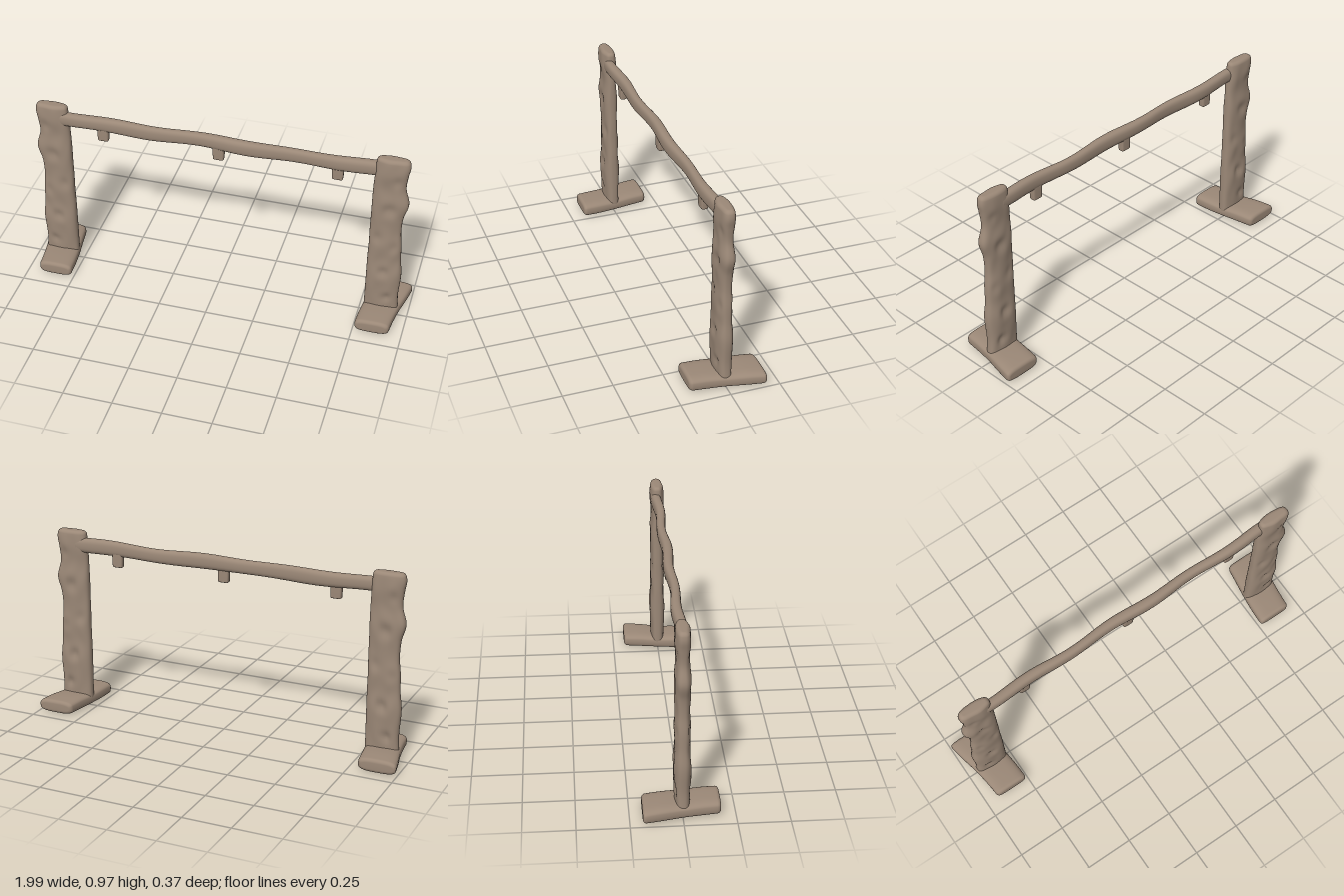
import * as THREE from 'three';

// Maps (u, v, t) to x, y, z for a loft along each axis (right-handed order)
const AXES = {
  x: (u, v, t) => [t, u, v],
  y: (u, v, t) => [v, t, u],
  z: (u, v, t) => [u, v, t],
};

// Rounded bar through stations [t, centreU, centreV, halfU, halfV].
// power sets how square the section is, round the end radius.
function loft(axis, stations, { power, round, steps, sides = 32, dent }) {
  const times = stations.map((s) => s[0]);
  const values = stations.flatMap((s) => s.slice(1));
  const curve = new THREE.CubicInterpolant(times, values, 4);
  const t0 = times[0], t1 = times[times.length - 1];

  // Ring positions with their inset: rounded start, body, rounded end
  const rings = [];
  const arc = (k) => [round * (1 - Math.cos(k)), round * (1 - Math.sin(k))];
  for (let i = 0; i < 5; i++) {
    const [off, inset] = arc((i / 5) * Math.PI / 2);
    rings.push([t0 + off, inset]);
  }
  for (let i = 0; i <= steps; i++) {
    rings.push([t0 + round + (t1 - t0 - 2 * round) * i / steps, 0]);
  }
  for (let i = 4; i >= 0; i--) {
    const [off, inset] = arc((i / 5) * Math.PI / 2);
    rings.push([t1 - off, inset]);
  }

  const pos = [], index = [];
  const put = (u, v, t) => pos.push(...AXES[axis](u, v, t));
  const soft = (c) => Math.sign(c) * Math.pow(Math.abs(c), 2 / power);
  rings.forEach(([t, inset]) => {
    const [cu, cv, hu, hv] = curve.evaluate(t);
    for (let j = 0; j < sides; j++) {
      const a = (j / sides) * Math.PI * 2;
      const u = soft(Math.cos(a)), v = soft(Math.sin(a));
      const k = dent ? dent(u, cv + v * hv, t) : 0;
      put(cu + u * (hu - inset - k), cv + v * (hv - inset), t);
    }
  });
  for (let i = 0; i < rings.length - 1; i++) {
    for (let j = 0; j < sides; j++) {
      const a = i * sides + j, b = i * sides + (j + 1) % sides;
      index.push(a, b, b + sides, a, b + sides, a + sides);
    }
  }
  // End caps
  const last = (rings.length - 1) * sides;
  const s = curve.evaluate(t0);
  put(s[0], s[1], t0);
  const e = curve.evaluate(t1);
  put(e[0], e[1], t1);
  const c0 = rings.length * sides;
  for (let j = 0; j < sides; j++) {
    const n = (j + 1) % sides;
    index.push(c0, n, j, c0 + 1, last + j, last + n);
  }
  const geo = new THREE.BufferGeometry();
  geo.setAttribute('position', new THREE.Float32BufferAttribute(pos, 3));
  geo.setIndex(index);
  geo.computeVertexNormals();
  return geo;
}

// Copy reflected in x, with the face order turned back outward
function mirrored(geo) {
  const copy = geo.clone().scale(-1, 1, 1);
  const idx = copy.index.array;
  for (let i = 0; i < idx.length; i += 3) [idx[i], idx[i + 1]] = [idx[i + 1], idx[i]];
  copy.computeVertexNormals();
  return copy;
}

// Knots and hollows on the post faces: [x, y, radius, depth]
const KNOTS = [
  [0.87, 0.68, 0.035, 0.012], [0.86, 0.29, 0.03, 0.012], [0.89, 0.13, 0.025, 0.01],
  [0.82, 0.5, 0.03, 0.006], [0.91, 0.45, 0.03, 0.006], [0.9, 0.85, 0.03, 0.007],
];
function postDent(u, x, y) {
  let d = 0.002 * Math.sin(x * 70 + Math.sin(y * 9) * 2) * Math.sin(y * 21 + u);
  for (const [kx, ky, r, depth] of KNOTS) {
    const q = ((x - kx) ** 2 + ((y - ky) * 0.8) ** 2) / (r * r);
    d += depth * (1 - 0.6 * q) * Math.exp(-q);
  }
  return d;
}

export function createModel() {
  const model = new THREE.Group();
  model.name = 'woodenFrame';
  const wood = new THREE.MeshStandardMaterial({ color: 0x9b8877 });
  wood.name = 'weathered wood';
  const add = (name, geo) => {
    const mesh = new THREE.Mesh(geo, wood);
    mesh.name = name;
    model.add(mesh);
  };

  // Plank post: straight inner edge, wavy outer edge
  const edges = [
    // y, inner x, outer x, half depth
    [0.03, 0.775, 0.95, 0.035], [0.13, 0.775, 0.945, 0.037], [0.27, 0.775, 0.952, 0.041],
    [0.36, 0.775, 0.943, 0.035], [0.45, 0.777, 0.94, 0.038], [0.54, 0.776, 0.932, 0.034],
    [0.63, 0.777, 0.938, 0.036], [0.71, 0.777, 0.958, 0.038], [0.8, 0.778, 0.938, 0.031],
    [0.88, 0.782, 0.944, 0.037], [0.93, 0.784, 0.952, 0.035], [0.97, 0.787, 0.945, 0.031],
  ];
  const post = loft('y',
    edges.map(([y, a, b, d]) => [y, 0, (a + b) / 2, d, (b - a) / 2]),
    { power: 2.7, round: 0.018, steps: 70, sides: 48, dent: postDent });

  // Bent slab foot, splayed outward to the back
  const foot = loft('z', [
    [-0.19, 0.9, 0.037, 0.098, 0.035], [-0.1, 0.885, 0.038, 0.096, 0.037],
    [0, 0.866, 0.036, 0.092, 0.035], [0.09, 0.854, 0.037, 0.09, 0.037],
    [0.18, 0.847, 0.038, 0.088, 0.036],
  ], { power: 3.4, round: 0.018, steps: 20 });

  add('leftPost', post);
  add('rightPost', mirrored(post));
  add('leftFoot', foot);
  add('rightFoot', mirrored(foot));

  // Gently waving top rail
  const rail = [];
  for (let i = 0; i <= 20; i++) {
    const x = -0.84 + 1.68 * i / 20;
    rail.push([x, 0.893 + 0.003 * Math.sin(x * 8 + 2), 0.006 * Math.sin(x * 13.5 - 0.3) - 0.004 * x,
      0.037 + 0.002 * Math.sin(x * 11), 0.025 + 0.002 * Math.sin(x * 9 + 1)]);
  }
  add('topRail', loft('x', rail, { power: 2.6, round: 0.01, steps: 80, sides: 24 }));

  // Hanging pegs under the rail
  for (const [name, x] of [['rightPeg', -0.6], ['middlePeg', 0], ['leftPeg', 0.6]]) {
    add(name, loft('y', [
      [0.8, 0, x, 0.017, 0.027], [0.84, 0, x, 0.018, 0.029], [0.88, 0, x, 0.018, 0.029],
    ], { power: 5, round: 0.005, steps: 4, sides: 24 }));
  }
  return model;
}
